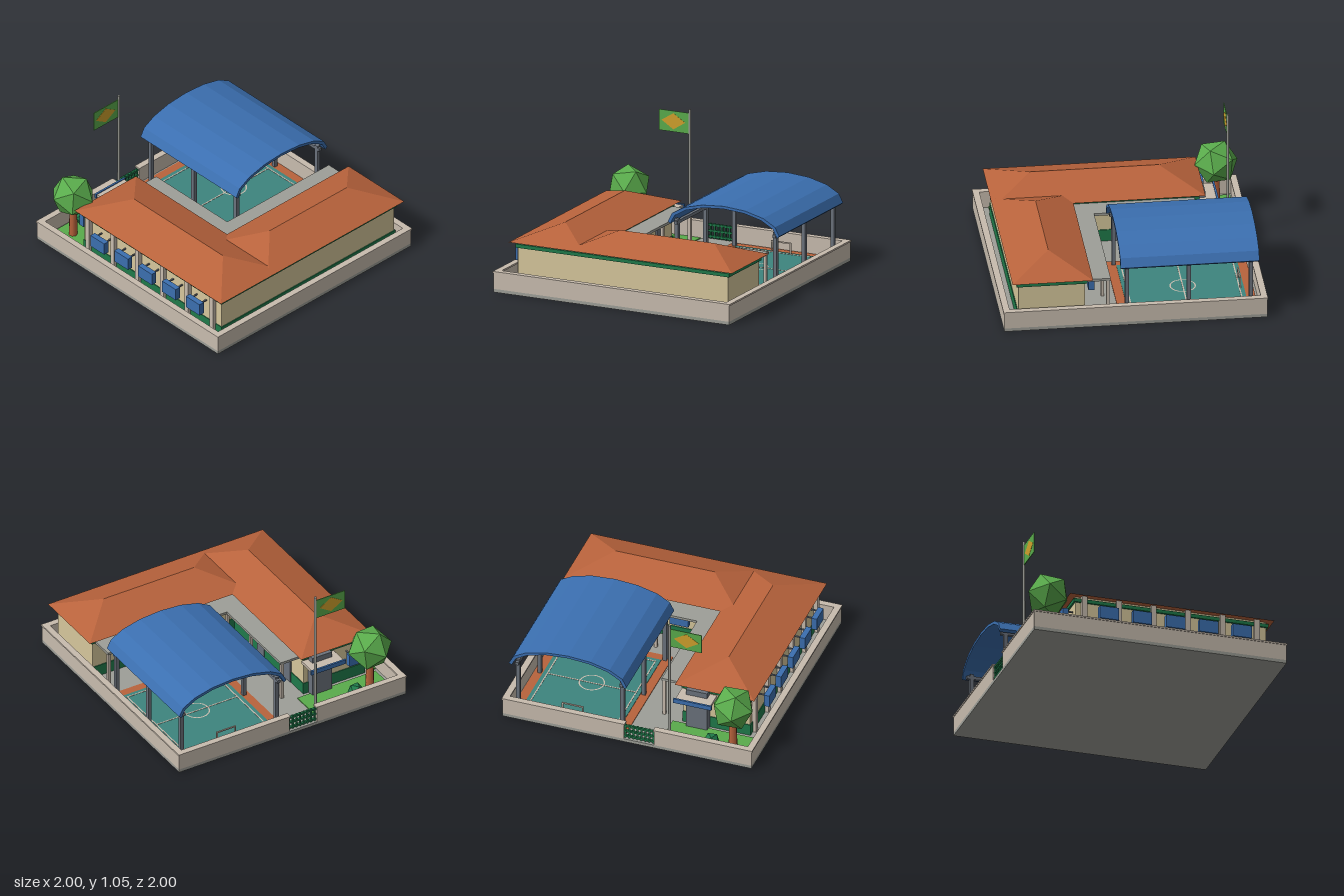
import * as THREE from 'three';

const mat = (name, color) => {
  const m = new THREE.MeshStandardMaterial({ color });
  m.name = name;
  return m;
};

export function createModel() {
  const stone = mat('pale stone', 0xc8bcae), cream = mat('cream plaster', 0xd6c79c);
  const green = mat('dark green', 0x1f7a4a), concrete = mat('concrete', 0x9e9f98);
  const tile = mat('terracotta', 0xb9633c), blue = mat('blue', 0x3b6fb0);
  const steel = mat('steel', 0x6b727c), teal = mat('court teal', 0x3d857e);
  const grass = mat('leaf green', 0x5aac4c), yellow = mat('yellow', 0xd0a12c);
  for (const m of [tile, grass]) m.flatShading = false;

  const model = new THREE.Group();
  model.name = 'walledSchool';
  const add = (name, geo, m, x = 0, y = 0, z = 0) => {
    const mesh = new THREE.Mesh(geo, m);
    mesh.name = name;
    mesh.position.set(x, y, z);
    model.add(mesh);
    return mesh;
  };
  // box given by its limits on each axis
  const box = (name, m, x0, x1, y0, y1, z0, z1) =>
    add(name, new THREE.BoxGeometry(x1 - x0, y1 - y0, z1 - z0), m,
      (x0 + x1) / 2, (y0 + y1) / 2, (z0 + z1) / 2);

  // ground slab
  box('groundSlab', concrete, -0.995, 0.995, 0, 0.026, -0.995, 0.995);

  // perimeter wall with a cap, open at the back gate
  const wall = (x0, x1, z0, z1) => {
    box('perimeterWall', stone, x0, x1, 0.026, 0.15, z0, z1);
    box('wallCap', stone, x0 - 0.005, x1 + 0.005, 0.15, 0.163, z0 - 0.005, z1 + 0.005);
  };
  wall(-0.995, 0.995, 0.955, 0.995);
  wall(-0.995, -0.955, -0.955, 0.955);
  wall(0.955, 0.995, -0.955, 0.955);
  wall(-0.995, -0.215, -0.995, -0.955);
  wall(0.025, 0.995, -0.995, -0.955);

  // gate
  for (const y of [0.04, 0.085, 0.13]) box('gateRail', green, -0.215, 0.025, y, y + 0.014, -0.985, -0.965);
  for (let i = 0; i < 8; i++) {
    const x = -0.21 + i * 0.0318;
    box('gateBar', green, x, x + 0.011, 0.03, 0.15, -0.982, -0.968);
  }

  // two wings: walls, lower dado and green band
  const wing = (name, x0, x1, z0, z1) => {
    const layer = (part, m, g, y0, y1) => box(name + part, m, x0 - g, x1 + g, y0, y1, z0 - g, z1 + g);
    layer('Walls', cream, 0, 0.026, 0.386, );
    layer('Dado', green, 0.006, 0.026, 0.12);
    layer('Band', green, 0.014, 0.34, 0.368);
  };
  wing('sideWing', -0.85, -0.32, -0.625, 0.88);
  wing('frontWing', -0.32, 0.927, 0.375, 0.88);

  // hipped roof with flat underside, ridge along the longer side
  const hipRoof = (name, x0, x1, z0, z1, y0, y1) => {
    const alongX = x1 - x0 > z1 - z0, h = Math.min(x1 - x0, z1 - z0) / 2;
    const a = [x0, y0, z1], b = [x1, y0, z1], c = [x1, y0, z0], d = [x0, y0, z0];
    const r = [x0 + h, y1, alongX ? z0 + h : z1 - h], s = [x1 - h, y1, z0 + h];
    const tris = alongX
      ? [a, b, s, a, s, r, b, c, s, c, d, r, c, r, s, d, a, r]
      : [a, b, r, b, c, s, b, s, r, c, d, s, d, a, r, d, r, s];
    tris.push(a, c, b, a, d, c);
    const g = new THREE.BufferGeometry();
    g.setAttribute('position', new THREE.Float32BufferAttribute(tris.flat(), 3));
    g.computeVertexNormals();
    add(name, g, tile);
  };
  hipRoof('sideWingRoof', -0.902, -0.268, -0.68, 0.93, 0.385, 0.505);
  hipRoof('frontWingRoof', -0.42, 0.983, 0.32, 0.93, 0.385, 0.506);

  // courtyard veranda: flat slab on posts
  box('verandaRoof', concrete, -0.32, -0.135, 0.338, 0.358, -0.6, 0.18);
  box('verandaRoof', concrete, -0.32, 0.91, 0.338, 0.358, 0.18, 0.38);
  const post = (x, z) => box('verandaPost', stone, x - 0.012, x + 0.012, 0.026, 0.338, z - 0.012, z + 0.012);
  for (const z of [-0.585, -0.14, 0.2]) post(-0.152, z);
  for (const x of [0.2, 0.55, 0.892]) post(x, 0.2);

  // projecting windows held on small arms; (nx, nz) points out of the wall
  const windowBox = (x, z, nx, nz) => {
    const w = nx ? 0.044 : 0.15, d = nx ? 0.15 : 0.044;
    box('window', blue, x - w / 2, x + w / 2, 0.195, 0.295, z - d / 2, z + d / 2);
    for (const s of [-0.05, 0.05]) {
      const ax = x - nx * 0.045 + (nx ? 0 : s), az = z - nz * 0.045 + (nx ? s : 0);
      box('windowArm', steel, ax - (nx ? 0.03 : 0.005), ax + (nx ? 0.03 : 0.005), 0.275, 0.285,
        az - (nx ? 0.005 : 0.03), az + (nx ? 0.005 : 0.03));
    }
  };
  for (let i = 0; i < 5; i++) windowBox(-0.922, -0.385 + i * 0.262, -1, 0);
  for (const x of [0.05, 0.38, 0.7]) windowBox(x, 0.31, 0, -1);
  windowBox(-0.745, -0.692, 0, -1);
  for (let i = 0; i < 6; i++) {
    const z = -0.56 + i * 0.272;
    box('pilaster', stone, -0.882, -0.85, 0.026, 0.385, z - 0.02, z + 0.02);
  }

  // classroom doors under the veranda
  for (const z of [-0.4, -0.02]) box('classroomDoor', steel, -0.32, -0.308, 0.026, 0.25, z - 0.05, z + 0.05);

  // back entrance with canopy
  box('entrancePorch', steel, -0.53, -0.36, 0.026, 0.37, -0.69, -0.62);
  box('entranceCanopy', stone, -0.585, -0.305, 0.302, 0.325, -0.772, -0.62);
  box('canopyFascia', blue, -0.597, -0.293, 0.295, 0.332, -0.785, -0.77);

  // planting strips
  box('backLawn', grass, -0.93, -0.245, 0.026, 0.034, -0.945, -0.66);
  box('sideLawn', grass, -0.95, -0.89, 0.026, 0.034, -0.63, 0.88);

  // tree and shrub
  add('treeTrunk', new THREE.CylinderGeometry(0.028, 0.035, 0.25, 7), tile, -0.785, 0.15, -0.82);
  add('treeCrown', new THREE.IcosahedronGeometry(0.173, 0), grass, -0.785, 0.395, -0.82).rotation.set(0.55, 0.3, 0);
  add('shrub', new THREE.IcosahedronGeometry(0.065, 0), green, -0.63, 0.085, -0.87).rotation.set(0.4, 0.2, 0);

  // flagpole and flag
  add('flagpole', new THREE.CylinderGeometry(0.01, 0.011, 1.025, 10), concrete, -0.288, 0.5425, -0.85);
  box('flag', grass, -0.545, -0.297, 0.862, 1.024, -0.853, -0.847);
  const lozenge = new THREE.Shape([[-0.1, 0], [0, -0.063], [0.1, 0], [0, 0.063]].map(p => new THREE.Vector2(...p)));
  add('flagLozenge', new THREE.ExtrudeGeometry(lozenge, { depth: 0.009, bevelEnabled: false }), yellow, -0.424, 0.944, -0.8545);

  // sports court with lines and goals
  box('courtSurround', tile, 0.03, 0.95, 0.026, 0.032, -0.94, 0.11);
  box('courtFloor', teal, 0.1, 0.88, 0.032, 0.036, -0.87, 0.04);
  const line = (x0, x1, z0, z1) => box('courtLine', stone, x0, x1, 0.036, 0.038, z0, z1);
  for (const z of [-0.84, -0.42, 0.002]) line(0.13, 0.85, z, z + 0.01);
  for (const x of [0.13, 0.84]) line(x, x + 0.01, -0.84, 0.01);
  const ring = add('centreCircle', new THREE.RingGeometry(0.09, 0.1, 24), stone, 0.49, 0.038, -0.415);
  ring.rotation.x = -Math.PI / 2;
  for (const z of [-0.84, 0.005]) {
    for (const x of [0.41, 0.57]) box('goalPost', stone, x - 0.005, x + 0.005, 0.036, 0.12, z - 0.005, z + 0.005);
    box('goalBar', stone, 0.405, 0.575, 0.115, 0.125, z - 0.005, z + 0.005);
  }

  // barrel roof over the court
  const arc = (a, b, y) => Array.from({ length: 9 }, (_, i) => {
    const t = Math.PI * (1 - i / 8);
    return new THREE.Vector2(a * Math.cos(t), y + b * Math.sin(t));
  });
  const shell = new THREE.Shape([...arc(0.47, 0.176, 0.464), ...arc(0.45, 0.172, 0.447).reverse()]);
  add('courtRoof', new THREE.ExtrudeGeometry(shell, { depth: 1.05, bevelEnabled: false }), blue, 0.492, 0, -0.94);
  for (const x of [0.075, 0.907]) {
    for (const z of [-0.88, -0.41, 0.058]) box('courtRoofPost', steel, x - 0.015, x + 0.015, 0.026, 0.48, z - 0.015, z + 0.015);
    box('courtRoofBeam', steel, x - 0.013, x + 0.013, 0.44, 0.465, -0.92, 0.09);
  }
  return model;
}
